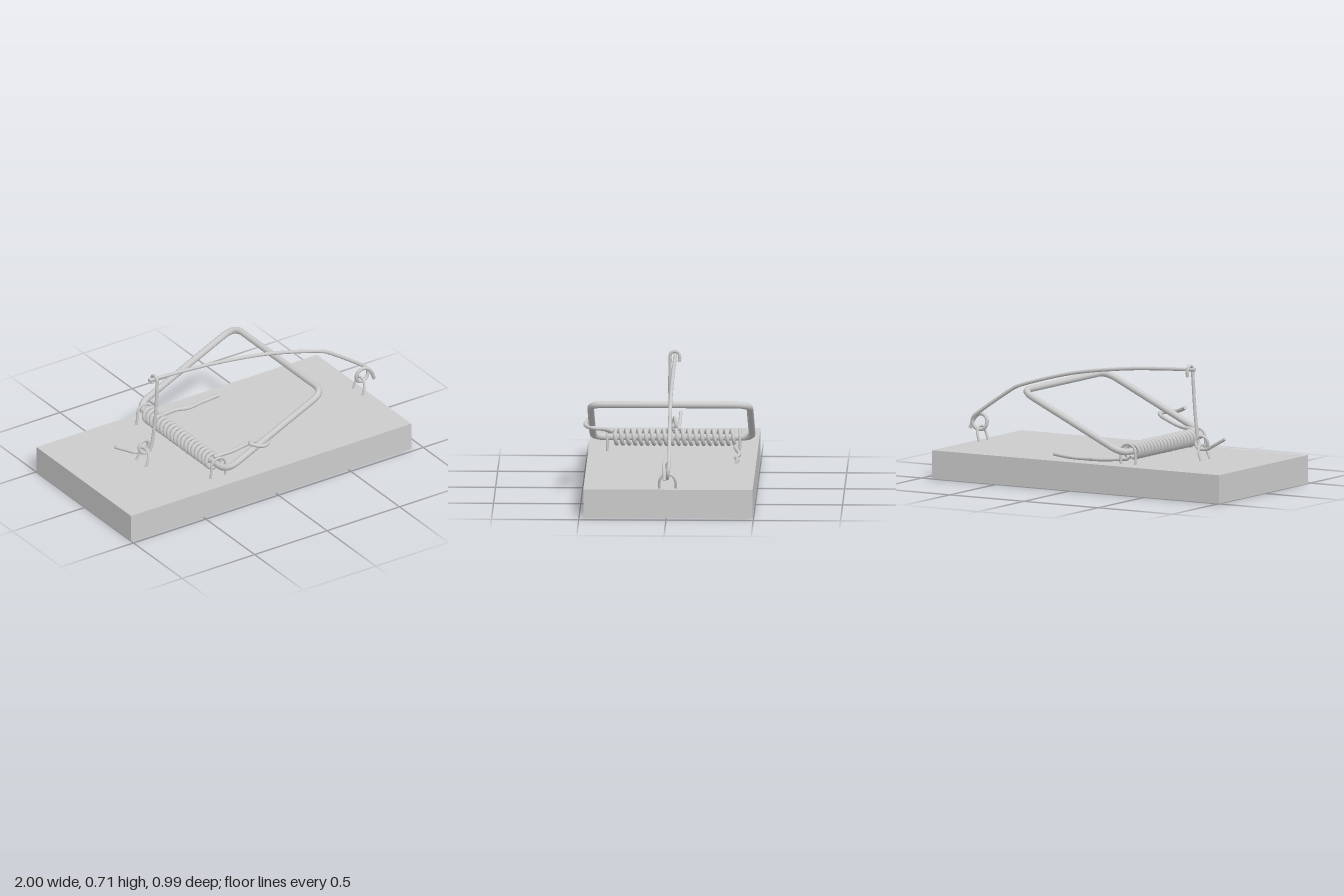
import * as THREE from 'three';

const mat = new THREE.MeshStandardMaterial({ color: 0xcccccc, side: THREE.DoubleSide });
const V = (p) => new THREE.Vector3(...p);

// Round wire along a curve, closed off with flat discs at both ends
function wire(name, curve, radius, segments, closed = false) {
  const group = new THREE.Group();
  group.name = name;
  group.add(new THREE.Mesh(new THREE.TubeGeometry(curve, segments, radius, 10, closed), mat));
  if (!closed) {
    for (const t of [0, 1]) {
      const cap = new THREE.Mesh(new THREE.CircleGeometry(radius, 10), mat);
      const end = curve.getPointAt(t);
      cap.position.copy(end);
      cap.lookAt(end.clone().addScaledVector(curve.getTangentAt(t), t ? 1 : -1));
      group.add(cap);
    }
  }
  return group;
}

const bent = (points) => new THREE.CatmullRomCurve3(points.map(V), false, 'centripetal');

// Points of a loop in the xy plane, drifting along z; angles in degrees
function loop(cx, cy, r, from, to, z0, z1, steps) {
  return Array.from({ length: steps + 1 }, (_, i) => {
    const t = i / steps, a = THREE.MathUtils.degToRad(from + (to - from) * t);
    return [cx + r * Math.cos(a), cy + r * Math.sin(a), z0 + (z1 - z0) * t];
  });
}

// Closed rectangle with rounded corners
function roundedLoop(corners, r) {
  const path = new THREE.CurvePath();
  const pts = corners.map(V), n = pts.length;
  const toward = (a, b) => a.clone().addScaledVector(b.clone().sub(a).normalize(), r);
  for (let i = 0; i < n; i++) {
    const p = pts[i], next = pts[(i + 1) % n], after = pts[(i + 2) % n];
    path.add(new THREE.LineCurve3(toward(p, next), toward(next, p)));
    path.add(new THREE.QuadraticBezierCurve3(toward(next, p), next, toward(next, after)));
  }
  return path;
}

export function createModel() {
  const model = new THREE.Group();
  model.name = 'springTrap';

  // Wooden board
  const board = new THREE.Mesh(new THREE.BoxGeometry(1.935, 0.165, 0.97), mat);
  board.name = 'board';
  board.position.set(-0.0325, 0.0825, -0.01);
  model.add(board);

  // Swinging hammer frame, hinged through the spring
  const hx = -0.325, hy = 0.237;
  model.add(wire('hammerFrame', roundedLoop([
    [hx, hy, 0.449], [0.345, 0.55, 0.449], [0.345, 0.55, -0.464], [hx, hy, -0.464],
  ], 0.085), 0.0195, 240, true));

  // Coil spring with one arm on the board and one hooked around the frame
  const turns = 19, coil = [];
  for (let i = 0; i <= turns * 14; i++) {
    const t = i / (turns * 14), a = Math.PI / 2 - t * turns * Math.PI * 2 - t * Math.PI;
    coil.push([hx + 0.04 * Math.cos(a), hy + 0.04 * Math.sin(a), 0.33 - t * 0.695]);
  }
  model.add(wire('spring', bent([
    [-0.18, 0.38, 0.462], [-0.14, 0.362, 0.48], [-0.1, 0.35, 0.488], [-0.06, 0.345, 0.475],
    [-0.03, 0.342, 0.435], [-0.05, 0.335, 0.4], [-0.12, 0.315, 0.368], [-0.22, 0.287, 0.347],
    ...coil,
    [-0.25, 0.187, -0.37], [-0.16, 0.181, -0.388], [-0.1, 0.178, -0.393],
    [-0.03, 0.175, -0.378], [0.07, 0.178, -0.388], [0.18, 0.188, -0.384],
  ]), 0.0115, 1100));

  // Staples holding the hinge at each end of the spring
  for (const z of [0.367, -0.393]) {
    const arch = loop(hx, 0.235, 0.048, 0, 180, z, z, 8);
    model.add(wire('hingeStaple', bent([
      [hx + 0.047, 0.15, z], [hx + 0.049, 0.2, z], ...arch,
      [hx - 0.05, 0.2, z], [hx - 0.053, 0.15, z],
    ]), 0.0075, 48));
  }

  // Leaning staples holding the trigger and the bar
  for (const [name, x, lean] of [['triggerStaple', -0.608, 0.03], ['barStaple', 0.887, 0.025]]) {
    model.add(wire(name, bent([
      [x - 0.004, 0.15, 0.042], [x + lean * 0.7, 0.215, 0.038], [x + lean * 0.95, 0.243, 0.022],
      [x + lean, 0.25, -0.005], [x + lean * 0.95, 0.243, -0.032],
      [x + lean * 0.7, 0.215, -0.05], [x - 0.004, 0.15, -0.055],
    ]), 0.0075, 40));
  }

  // Long holding bar with an eye and a short tail at its right end
  model.add(wire('holdingBar', bent([
    [-0.545, 0.684, -0.018], [-0.3, 0.672, -0.017], [-0.1, 0.657, -0.015], [0.2, 0.618, -0.013],
    [0.39, 0.578, -0.012], [0.65, 0.502, -0.014], [0.69, 0.482, -0.014], [0.92, 0.328, -0.016],
    ...loop(0.917, 0.273, 0.045, 50, -310, -0.015, 0.014, 18),
    [0.972, 0.275, 0.013], [0.99, 0.23, 0.01],
  ]), 0.0105, 260));

  // Upright trigger: hook over the bar, eye at the foot, tail to the left
  model.add(wire('trigger', bent([
    [-0.507, 0.642, -0.04], [-0.507, 0.668, -0.043], [-0.508, 0.692, -0.036],
    [-0.508, 0.703, -0.015], [-0.508, 0.69, 0.008], [-0.51, 0.64, 0.012],
    [-0.52, 0.48, 0.014], [-0.535, 0.34, 0.012],
    ...loop(-0.585, 0.266, 0.036, -10, -440, 0.01, -0.028, 20),
    [-0.63, 0.232, -0.034], [-0.69, 0.262, -0.04], [-0.762, 0.302, -0.044],
  ]), 0.0095, 240));

  return model;
}
